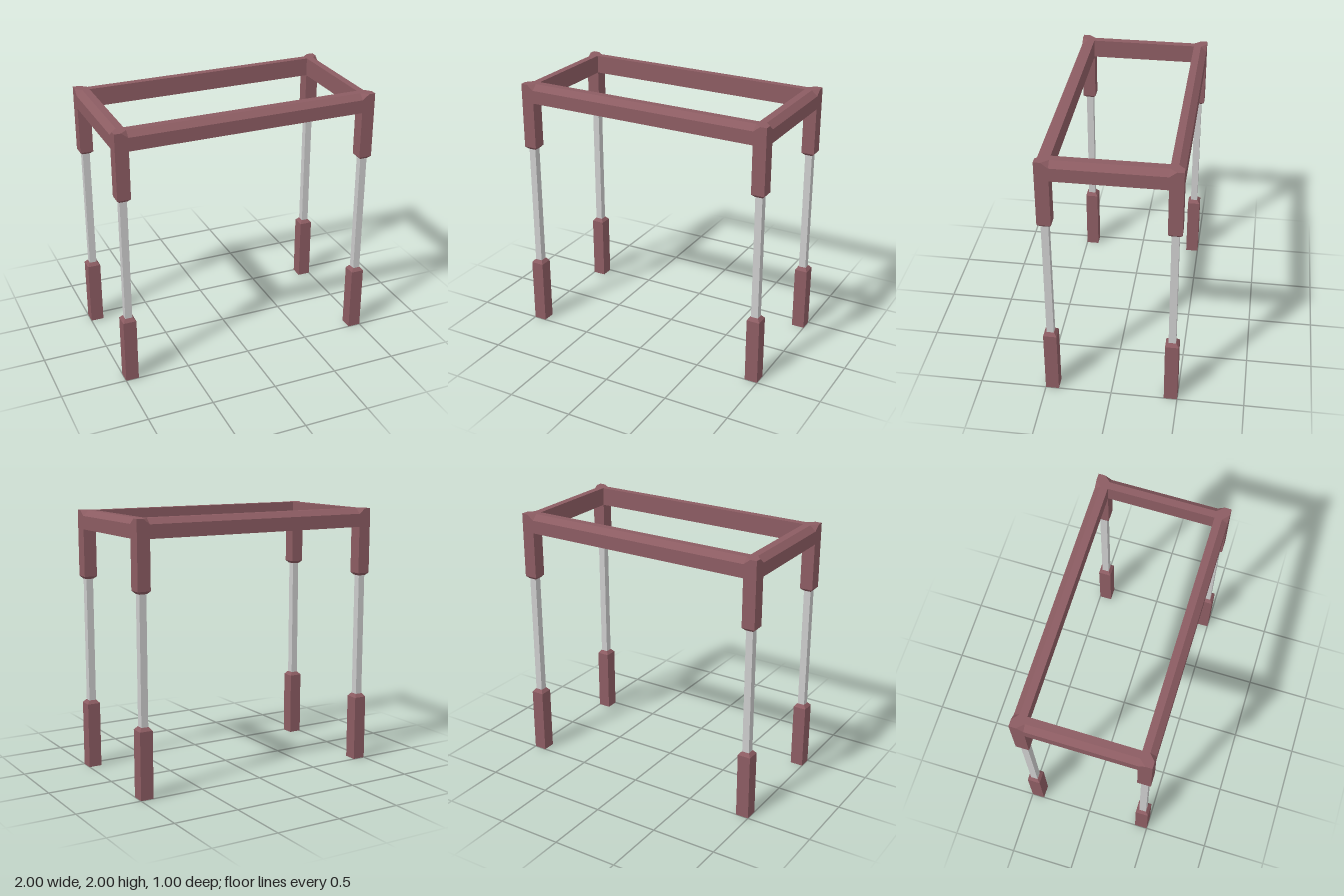
import * as THREE from 'three';
import { ConvexGeometry } from 'three/addons/geometries/ConvexGeometry.js';

const wood = new THREE.MeshStandardMaterial({ color: 0x8c5c62, flatShading: true });
const metal = new THREE.MeshStandardMaterial({ color: 0xcccccc, flatShading: true });

const W = 1, D = 0.5, H = 2;   // half width, half depth, height
const T = 0.1;                 // post and rail thickness
const CUT = 0.045, DROP = 0.04; // rail chamfer inward and downward

function hull(name, points) {
  const mesh = new THREE.Mesh(new ConvexGeometry(points.map(p => new THREE.Vector3(...p))), wood);
  mesh.name = name;
  return mesh;
}

// Four corners of a horizontal square
function square(cx, cz, size, y) {
  const h = size / 2;
  return [[cx - h, y, cz - h], [cx + h, y, cz - h], [cx + h, y, cz + h], [cx - h, y, cz + h]];
}

function createLeg(sx, sz) {
  const leg = new THREE.Group();
  const cx = sx * (W - T / 2), cz = sz * (D - T / 2);

  // Foot with a tapered top
  leg.add(hull('foot', [...square(cx, cz, T, 0), ...square(cx, cz, T, 0.505), ...square(cx, cz, 0.06, 0.53)]));

  // Slim rod between foot and corner post
  const rod = new THREE.Mesh(new THREE.BoxGeometry(0.054, 1, 0.054), metal);
  rod.name = 'rod';
  rod.position.set(cx, 1, cz);
  leg.add(rod);

  // Corner post: tapered below, trimmed above to meet the chamfered rails
  const top = [
    [W, H, D], [W - T / 2, H, D], [W - T, H, D - CUT], [W - T, H - DROP, D],
    [W - T, H, D - T], [W - CUT, H, D - T], [W, H - DROP, D - T], [W, H, D - T / 2],
  ].map(([x, y, z]) => [sx * x, y, sz * z]);
  leg.add(hull('cornerPost', [...square(cx, cz, 0.06, 1.48), ...square(cx, cz, T, 1.5), ...top]));
  return leg;
}

// Rail cross-section as [distance in from the outer face, height]
const railProfile = [[0, 1.86], [0, H - DROP], [CUT, H], [T, H], [T, 1.86]];

export function createModel() {
  const model = new THREE.Group();
  model.name = 'tableFrame';

  for (const sx of [-1, 1]) for (const sz of [-1, 1]) {
    const leg = createLeg(sx, sz);
    leg.name = (sz > 0 ? 'front' : 'back') + (sx > 0 ? 'Left' : 'Right') + 'Leg';
    model.add(leg);
  }

  // Long rails front and back, short rails left and right
  for (const s of [-1, 1]) {
    const long = [], short = [];
    for (const [d, y] of railProfile) for (const e of [-1, 1]) {
      long.push([e * (W - T), y, s * (D - d)]);
      short.push([s * (W - d), y, e * (D - T)]);
    }
    model.add(hull(s > 0 ? 'frontRail' : 'backRail', long));
    model.add(hull(s > 0 ? 'leftRail' : 'rightRail', short));
  }
  return model;
}
